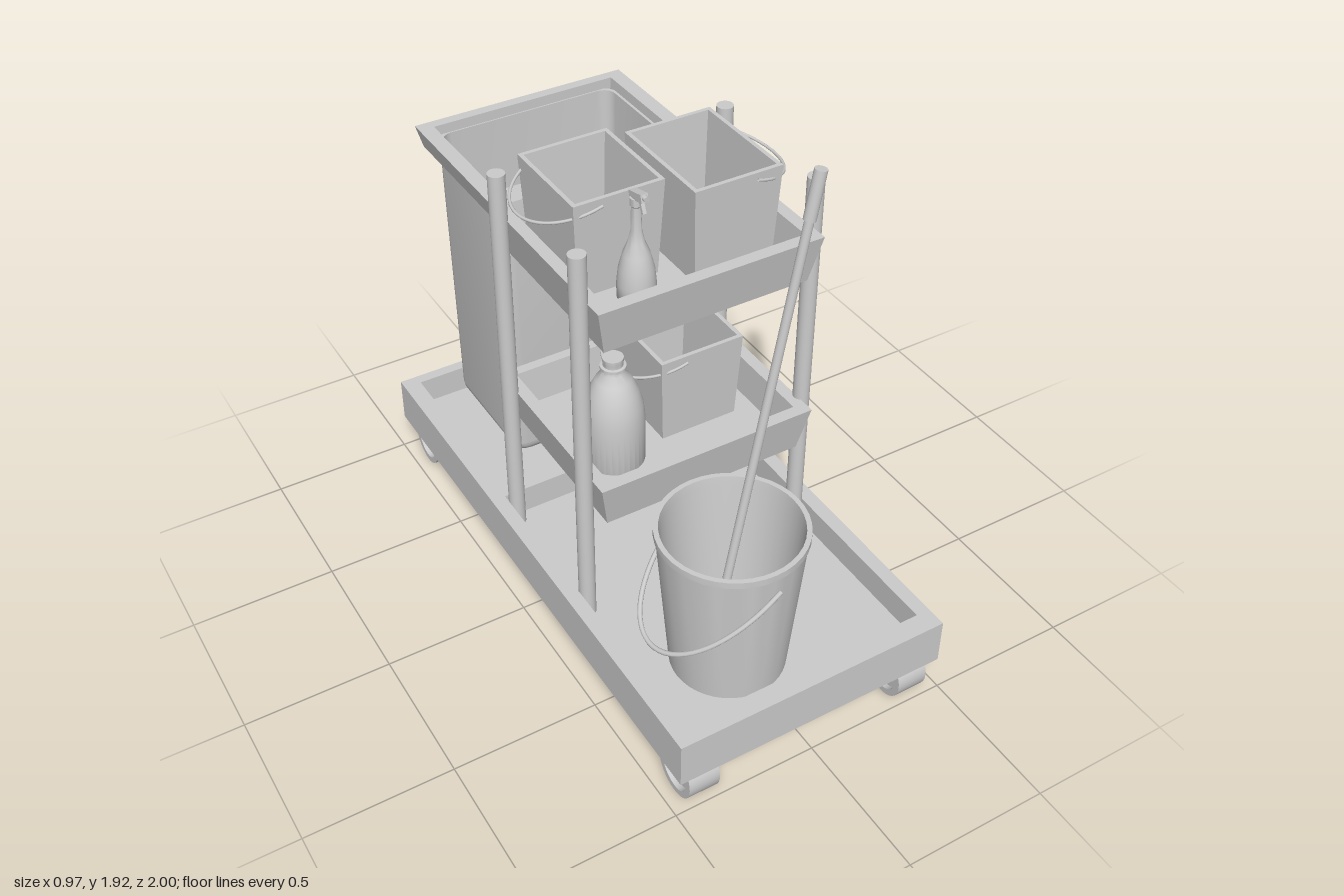
import * as THREE from 'three';
import { toCreasedNormals } from 'three/addons/utils/BufferGeometryUtils.js';

const mat = new THREE.MeshStandardMaterial({ color: 0xcccccc, side: THREE.DoubleSide });
const V = (x, y, z) => new THREE.Vector3(x, y, z);

function add(parent, name, geo, x = 0, y = 0, z = 0) {
  const mesh = new THREE.Mesh(geo, mat);
  mesh.name = name;
  mesh.position.set(x, y, z);
  parent.add(mesh);
  return mesh;
}

// Rectangular cross-section at height y, with corner radius r
function ring(x0, x1, z0, z1, y, r = 0) {
  const pts = [], n = r ? 5 : 0;
  for (let c = 0; c < 4; c++) {
    const cx = c === 0 || c === 3 ? x1 - r : x0 + r;
    const cz = c < 2 ? z0 + r : z1 - r;
    for (let i = 0; i <= n; i++) {
      const a = (c + (n ? i / n : 0)) * Math.PI / 2;
      pts.push(V(cx + r * Math.cos(a), y, cz - r * Math.sin(a)));
    }
  }
  return pts;
}

// Skin through a list of cross-sections, optionally capped at both ends
function loft(rings, capped = true) {
  const pos = [], n = rings[0].length;
  const tri = (...p) => p.forEach(v => pos.push(v.x, v.y, v.z));
  for (let k = 0; k < rings.length - 1; k++) {
    const a = rings[k], b = rings[k + 1];
    for (let i = 0; i < n; i++) {
      const j = (i + 1) % n;
      tri(a[i], a[j], b[j]);
      tri(a[i], b[j], b[i]);
    }
  }
  if (capped) {
    const a = rings[0], b = rings[rings.length - 1];
    for (let i = 1; i < n - 1; i++) {
      tri(a[0], a[i + 1], a[i]);
      tri(b[0], b[i], b[i + 1]);
    }
  }
  const g = new THREE.BufferGeometry();
  g.setAttribute('position', new THREE.Float32BufferAttribute(pos, 3));
  return toCreasedNormals(g, 0.6);
}

const lathe = (pts, seg = 32) =>
  toCreasedNormals(new THREE.LatheGeometry(pts.map(p => new THREE.Vector2(...p)), seg), 0.6);

// Half-loop handle: pivots at z +-hz, swinging out by (dx, dy)
function handle(parent, name, x, y, z, dx, dy, hz, r) {
  const pts = [];
  for (let i = 0; i <= 16; i++) {
    const a = i / 16 * Math.PI;
    pts.push(V(dx * Math.sin(a), dy * Math.sin(a), hz * Math.cos(a)));
  }
  add(parent, name, new THREE.TubeGeometry(new THREE.CatmullRomCurve3(pts), 40, r, 8), x, y, z);
}

// Open box with tapered walls and a swing handle on one side
function caddy(parent, name, cx, y, cz, depth, side) {
  const g = new THREE.Group();
  g.name = name;
  g.position.set(cx, y, cz);
  parent.add(g);
  const w = 0.153, d = depth / 2;
  const r = (o, h) => ring(-w + o, w - o, -d + o, d - o, h);
  add(g, 'caddyBox', loft([r(0.015, 0), r(0, 0.335), r(0.014, 0.335), r(0.035, 0.02)]));
  handle(g, 'caddyHandle', side * 0.06, 0.315, 0, side * 0.19, -0.06, d + 0.008, 0.005);
}

// Shelf with sloping walls
function shelf(parent, name, y) {
  add(parent, name, loft([
    ring(-0.355, 0.355, -0.28, 0.345, y),
    ring(-0.387, 0.387, -0.31, 0.375, y + 0.163),
    ring(-0.345, 0.345, -0.275, 0.332, y + 0.163),
    ring(-0.335, 0.335, -0.265, 0.322, y + 0.03)]));
}

export function createModel() {
  const cart = new THREE.Group();
  cart.name = 'cleaningCart';

  // Base with two sunken compartments
  const deck = new THREE.Shape([[-0.485, -1], [0.485, -1], [0.485, 1], [-0.485, 1]]
    .map(p => new THREE.Vector2(...p)));
  for (const [x, z0, z1] of [[0.435, -0.235, 0.93], [0.422, -0.96, -0.355]]) {
    deck.holes.push(new THREE.Path([[-x, -z0], [x, -z0], [x, -z1], [-x, -z1]]
      .map(p => new THREE.Vector2(...p))));
  }
  const rim = new THREE.ExtrudeGeometry(deck, { depth: 0.1, bevelEnabled: false });
  add(cart, 'baseRim', rim.rotateX(-Math.PI / 2), 0, 0.2, 0);
  add(cart, 'baseFloor', new THREE.BoxGeometry(0.97, 0.065, 2), 0, 0.1675, 0);

  // Wheels with recessed sides
  const wheel = lathe([[0, -0.035], [0.066, -0.035], [0.066, -0.054], [0.088, -0.054],
    [0.088, 0.054], [0.066, 0.054], [0.066, 0.035], [0, 0.035]]).rotateZ(Math.PI / 2);
  for (const x of [-0.4, 0.385]) for (const z of [0.915, -0.875]) add(cart, 'wheel', wheel, x, 0.088, z);

  // Corner posts
  const post = new THREE.CylinderGeometry(0.028, 0.028, 1.4, 24);
  for (const x of [-0.405, 0.403]) for (const z of [0.292, -0.205]) add(cart, 'post', post, x, 0.9, z);

  shelf(cart, 'lowerShelf', 0.607);
  shelf(cart, 'upperShelf', 1.272);

  // Frame that carries the waste bin
  add(cart, 'binFrame', loft([
    ring(-0.365, 0.365, -0.85, -0.3, 1.355),
    ring(-0.387, 0.387, -0.857, -0.3, 1.435),
    ring(-0.335, 0.335, -0.82, -0.358, 1.435),
    ring(-0.33, 0.33, -0.82, -0.358, 1.355),
    ring(-0.365, 0.365, -0.85, -0.3, 1.355)], false));

  // Waste bin with rounded bottom, open on top
  const bin = [];
  const binRing = (o, y) => ring(-0.333 + o, 0.333 - o, -0.825 + o, -0.343 - o, y, 0.045);
  for (let i = 0; i <= 5; i++) {
    const a = i / 5 * Math.PI / 2;
    bin.push(binRing(0.01 + 0.06 * (1 - Math.sin(a)), 0.33 + 0.06 * (1 - Math.cos(a))));
  }
  bin.push(binRing(0, 1.4), binRing(0.01, 1.4), binRing(0.02, 0.37));
  add(cart, 'wasteBin', loft(bin));

  // Caddies
  caddy(cart, 'upperCaddyRight', -0.173, 1.3, -0.045, 0.345, -1);
  caddy(cart, 'upperCaddyLeft', 0.167, 1.3, 0.035, 0.405, 1);
  caddy(cart, 'lowerCaddy', 0.122, 0.62, -0.04, 0.345, -1);

  // Spray bottle
  const spray = new THREE.Group();
  spray.name = 'sprayBottle';
  spray.position.set(-0.155, 1.3, 0.19);
  cart.add(spray);
  add(spray, 'sprayBody', lathe([[0, 0], [0.055, 0], [0.06, 0.01], [0.06, 0.06], [0.055, 0.11], [0.042, 0.16],
    [0.026, 0.2], [0.017, 0.24], [0.015, 0.32], [0.019, 0.325], [0.019, 0.35], [0, 0.35]], 24));
  add(spray, 'sprayHead', new THREE.BoxGeometry(0.024, 0.026, 0.07), 0, 0.362, 0.014).rotation.x = -0.25;
  add(spray, 'sprayTrigger', new THREE.BoxGeometry(0.012, 0.05, 0.01), 0, 0.34, 0.035).rotation.x = -0.4;
  add(spray, 'sprayNozzle', new THREE.CylinderGeometry(0.009, 0.009, 0.02, 12).rotateX(Math.PI / 2), 0, 0.372, 0.05);

  // Detergent bottle
  add(cart, 'detergentBottle', lathe([[0, 0], [0.09, 0], [0.1, 0.015], [0.1, 0.19], [0.094, 0.24], [0.08, 0.29],
    [0.058, 0.335], [0.035, 0.362], [0.033, 0.375], [0.042, 0.378], [0.042, 0.388], [0.033, 0.39],
    [0.033, 0.4], [0.034, 0.405], [0.034, 0.418], [0, 0.418]]), -0.193, 0.62, 0.108);

  // Mop bucket with lowered handle
  add(cart, 'mopBucket', lathe([[0, 0], [0.187, 0], [0.232, 0.525], [0.238, 0.527], [0.238, 0.55], [0.222, 0.55],
    [0.218, 0.52], [0.178, 0.02], [0, 0.02]], 40), -0.115, 0.2, 0.68);
  handle(cart, 'bucketHandle', -0.1, 0.675, 0.68, -0.305, -0.265, 0.24, 0.008);

  // Mop stick leaning in the bucket
  const dir = V(0.21, 1.17, 0).normalize();
  const stick = (name, y0, y1, r) => {
    const m = add(cart, name, new THREE.CylinderGeometry(r, r, (y1 - y0) / dir.y, 20),
      -0.092 + ((y0 + y1) / 2 - 0.75) * 0.1795, (y0 + y1) / 2, 0.683);
    m.quaternion.setFromUnitVectors(V(0, 1, 0), dir);
  };
  stick('mopStick', 0.45, 1.78, 0.014);
  stick('mopGrip', 1.765, 1.915, 0.019);

  return cart;
}
